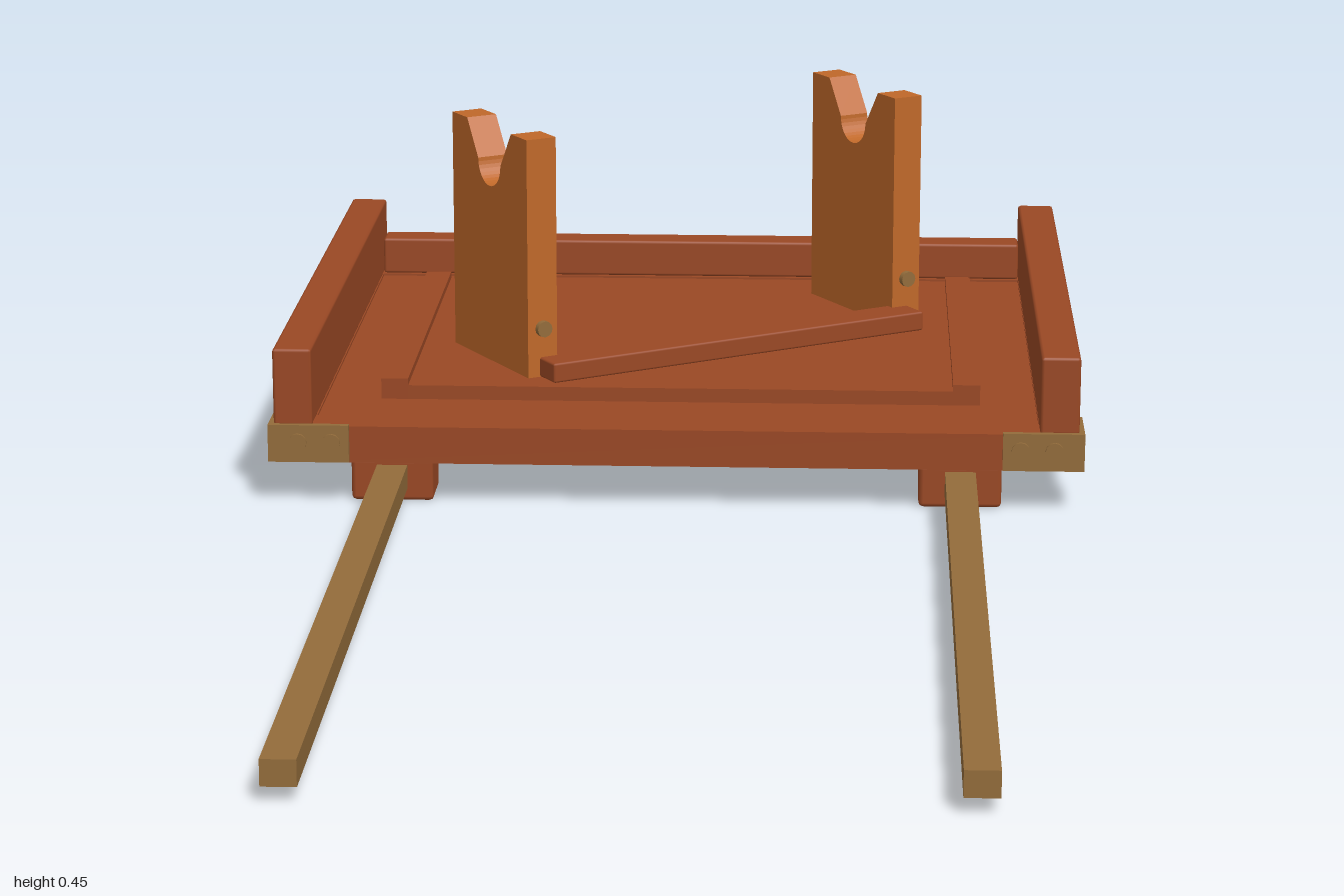
import * as THREE from 'three';
import { RoundedBoxGeometry } from 'three/addons/geometries/RoundedBoxGeometry.js';

const material = (name, color) => {
  const m = new THREE.MeshStandardMaterial({ color });
  m.name = name;
  return m;
};

export function createModel() {
  const redWood = material('red brown wood', 0x9a4824);
  const orangeWood = material('orange wood', 0xbf6829);
  const brass = material('dull brass', 0x936c3b);

  const model = new THREE.Group();
  model.name = 'handcart tray';

  const add = (parent, name, geometry, mat, x = 0, y = 0, z = 0) => {
    const mesh = new THREE.Mesh(geometry, mat);
    mesh.name = name;
    mesh.position.set(x, y, z);
    parent.add(mesh);
    return mesh;
  };
  // Box given by its limits along each axis; bevel softens the edges
  const box = (parent, name, mat, [x0, x1], [y0, y1], [z0, z1], bevel = 0) => {
    const size = [x1 - x0, y1 - y0, z1 - z0];
    const geo = bevel ? new RoundedBoxGeometry(...size, 1, bevel) : new THREE.BoxGeometry(...size);
    return add(parent, name, geo, mat, (x0 + x1) / 2, (y0 + y1) / 2, (z0 + z1) / 2);
  };

  // Tray, centred on its own middle
  const tray = new THREE.Group();
  tray.name = 'tray';
  tray.position.z = -0.541;
  model.add(tray);
  const H = 0.447;

  box(tray, 'floor', redWood, [-0.476, 0.476], [0.058, 0.102], [-0.4, 0.4]);
  for (const s of [-1, 1]) {
    const end = s > 0 ? 'front' : 'back';
    box(tray, end + 'Beam', redWood, [-0.476, 0.476], [0.056, 0.105], s > 0 ? [0.395, H] : [-H, -0.395]);
    const xs = s > 0 ? [0.474, 0.525] : [-0.525, -0.474];
    box(tray, 'sideBeam', redWood, xs, [0.056, 0.105], [-H, H]);
    box(tray, 'sideWall', redWood, xs, [0.105, 0.208], [-H, H], 0.004);
    // Raised strips beside the inner panel
    box(tray, 'panelStrip', redWood, s > 0 ? [0.364, 0.4] : [-0.4, -0.364], [0.1, 0.13], [-0.308, 0.298]);
  }
  box(tray, 'backWall', redWood, [-0.474, 0.474], [0.105, 0.158], [-H, -0.398], 0.004);
  box(tray, 'innerPanel', redWood, [-0.364, 0.364], [0.1, 0.121], [-0.308, 0.298]);

  // Corner brackets with bolts
  const bolt = new THREE.CylinderGeometry(0.012, 0.012, 0.006, 12);
  for (const sx of [-1, 1]) for (const sz of [-1, 1]) {
    const bracket = new THREE.Group();
    bracket.name = 'cornerBracket';
    tray.add(bracket);
    add(bracket, 'bracketEndPlate', new THREE.BoxGeometry(0.106, 0.05, 0.009), brass,
      sx * 0.479, 0.083, sz * 0.4505);
    add(bracket, 'bracketSidePlate', new THREE.BoxGeometry(0.008, 0.05, 0.085), brass,
      sx * 0.528, 0.083, sz * 0.4125);
    for (const x of [0.449, 0.493]) {
      add(bracket, 'bolt', bolt, brass, sx * x, 0.085, sz * 0.456).rotation.x = Math.PI / 2;
    }
    add(bracket, 'bolt', bolt, brass, sx * 0.531, 0.085, sz * 0.41).rotation.z = Math.PI / 2;
  }

  // Long handles running through square-holed blocks below the tray
  for (const s of [-1, 1]) {
    const x = s * 0.372;
    box(model, 'handle', brass, [x - 0.02, x + 0.02], [0.018, 0.049], [-0.6, 1]);
    for (const z of [-0.145, -0.433]) {
      box(model, 'handleBlock', redWood, [x - 0.054, x + 0.054], [0, 0.057], [z - 0.036, z + 0.036], 0.006);
    }
  }

  // Diagonal stand: two notched uprights joined by a bar
  const stand = new THREE.Group();
  stand.name = 'stand';
  stand.position.z = -0.5425;
  stand.rotation.y = -1.0146;
  model.add(stand);

  const W = 0.11, TOP = 0.448, T = 0.044;
  const profile = new THREE.Shape();
  profile.moveTo(-W, 0.12);
  profile.lineTo(W, 0.12);
  profile.lineTo(W, TOP);
  profile.lineTo(0.065, TOP);
  profile.lineTo(0.033, 0.398);
  profile.absarc(0, 0.398, 0.033, 0, -Math.PI, true);
  profile.lineTo(-0.065, TOP);
  profile.lineTo(-W, TOP);
  const upright = new THREE.ExtrudeGeometry(profile, { depth: T, bevelEnabled: false, curveSegments: 10 });
  upright.translate(0, 0, -T / 2);
  const peg = new THREE.CylinderGeometry(0.011, 0.011, 0.01, 12);
  for (const s of [-1, 1]) {
    add(stand, 'upright', upright, orangeWood, 0, 0, s * 0.2887);
    add(stand, 'uprightPeg', peg, brass, W + 0.003, 0.188, s * 0.2887).rotation.z = Math.PI / 2;
  }
  box(stand, 'standBar', redWood, [0.096, 0.151], [0.121, 0.148], [-0.293, 0.293], 0.003);

  return model;
}
